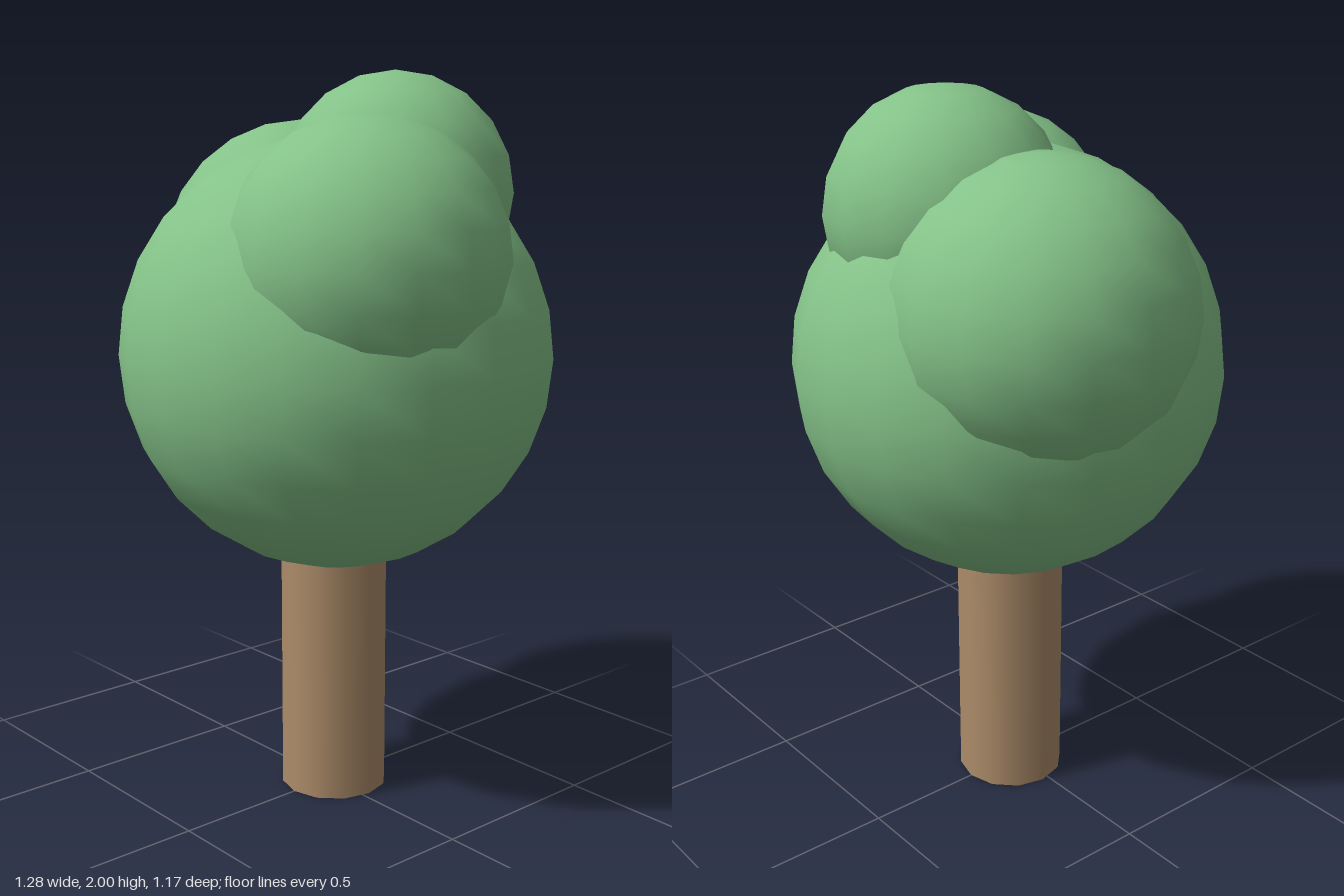
import * as THREE from 'three';

export function createModel() {
  const leafGreen = new THREE.MeshStandardMaterial({ color: 0x84c288 });
  leafGreen.name = 'leafGreen';
  const barkBrown = new THREE.MeshStandardMaterial({ color: 0xad8c69 });
  barkBrown.name = 'barkBrown';

  const tree = new THREE.Group();
  tree.name = 'tree';

  // Straight trunk, its top hidden inside the crown
  const trunk = new THREE.Mesh(new THREE.CylinderGeometry(0.15, 0.15, 0.8, 12), barkBrown);
  trunk.name = 'trunk';
  trunk.position.set(0, 0.4, -0.02);
  tree.add(trunk);

  // Overlapping balls of foliage
  const foliage = new THREE.Group();
  foliage.name = 'foliage';
  const addBall = (name, radius, x, y, z, around, rows) => {
    const ball = new THREE.Mesh(new THREE.SphereGeometry(radius, around, rows), leafGreen);
    ball.name = name;
    ball.position.set(x, y, z);
    ball.rotation.y = Math.PI / 2;
    foliage.add(ball);
  };
  addBall('mainCrown', 0.585, 0.03, 1.255, 0, 20, 14);
  addBall('rightCrown', 0.4, -0.24, 1.47, -0.11, 16, 12);
  addBall('leftCrown', 0.367, 0.27, 1.525, 0.11, 16, 12);
  addBall('topCrown', 0.32, 0.085, 1.68, -0.16, 14, 10);
  tree.add(foliage);

  return tree;
}
